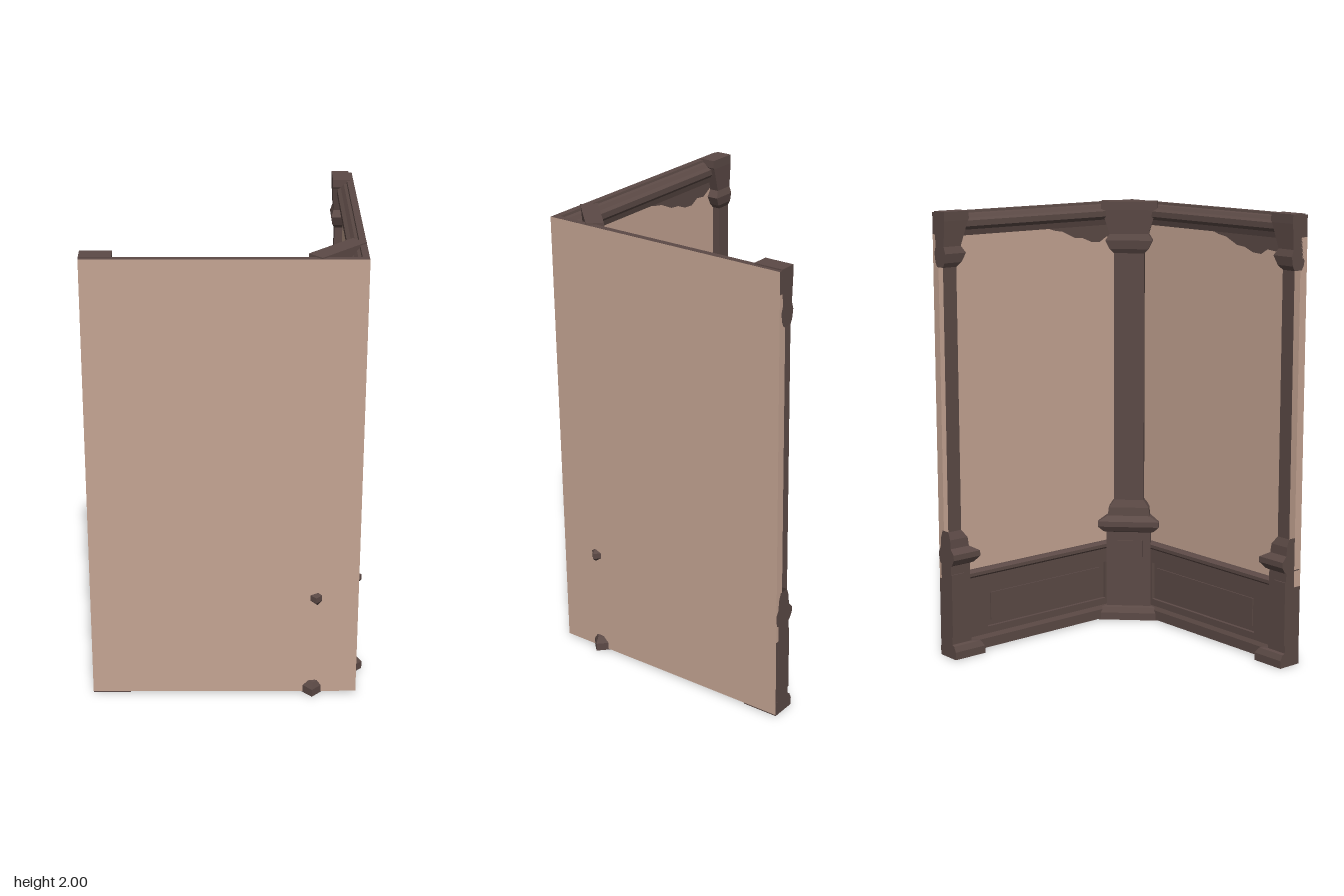
import * as THREE from 'three';

const plaster = new THREE.MeshStandardMaterial({ color: 0xc5a593, flatShading: true });
plaster.name = 'plaster';
const wood = new THREE.MeshStandardMaterial({ color: 0x5c4a46, flatShading: true, side: THREE.DoubleSide });
wood.name = 'darkWood';

const CORNER = 0.545, LENGTH = 1.14, END = CORNER - LENGTH, AXIS = 0.492;

// Column profile: height, half width, half depth
const PROFILE = [
  [0, 0.163, 0.062], [0.035, 0.163, 0.062], [0.06, 0.145, 0.05], [0.065, 0.105, 0.036],
  [0.43, 0.105, 0.036], [0.435, 0.12, 0.045], [0.46, 0.145, 0.06], [0.485, 0.145, 0.06],
  [0.51, 0.1, 0.037], [0.55, 0.095, 0.035], [0.585, 0.07, 0.022],
  [1.76, 0.07, 0.022], [1.78, 0.09, 0.033], [1.82, 0.11, 0.04], [1.85, 0.09, 0.03],
  [1.96, 0.125, 0.037], [1.965, 0.13, 0.037], [2, 0.13, 0.037],
];

function add(parent, name, geometry, material) {
  const mesh = new THREE.Mesh(geometry, material);
  mesh.name = name;
  parent.add(mesh);
  return mesh;
}

// Box given by its limits
function block(parent, name, material, x0, x1, y0, y1, z0, z1) {
  const mesh = add(parent, name, new THREE.BoxGeometry(x1 - x0, y1 - y0, z1 - z0), material);
  mesh.position.set((x0 + x1) / 2, (y0 + y1) / 2, (z0 + z1) / 2);
  return mesh;
}

// Rectangular column; side 0 is whole, +1 or -1 keeps one half with a hollow shaft
function columnGeometry(side) {
  const rings = PROFILE.map(([y, w, d]) => {
    const x0 = side > 0 ? 0 : -w, x1 = side < 0 ? 0 : w;
    const back = side ? Math.min(d, 0.0525) : d;
    return [[x0, y, -d], [x1, y, -d], [x1, y, back], [x0, y, back]];
  });
  const pos = [];
  const tri = (...pts) => pts.forEach((p) => pos.push(...p));
  for (let i = 0; i + 1 < rings.length; i++) {
    const p = rings[i], q = rings[i + 1];
    const isShaft = PROFILE[i][0] === 0.585;
    for (let k = 0; k < 4; k++) {
      const cutSide = side > 0 ? 3 : 1;
      if (side && isShaft && (k === 2 || k === cutSide)) continue;
      const n = (k + 1) % 4;
      tri(p[k], q[k], p[n]);
      tri(q[k], q[n], p[n]);
    }
  }
  const b = rings[0], t = rings[rings.length - 1];
  tri(t[0], t[3], t[2]);
  tri(t[0], t[2], t[1]);
  tri(b[0], b[2], b[3]);
  tri(b[0], b[1], b[2]);
  const g = new THREE.BufferGeometry();
  g.setAttribute('position', new THREE.Float32BufferAttribute(pos, 3));
  g.computeVertexNormals();
  return g;
}

function column(name, side, x, z, turn) {
  const g = new THREE.Group();
  g.name = name;
  add(g, 'columnBody', columnGeometry(side), wood);
  // raised panel on the pedestal
  block(g, 'pedestalPanel', wood, side > 0 ? 0 : -0.068, side < 0 ? 0 : 0.068, 0.1, 0.39, -0.042, -0.035);
  g.position.set(x, 0, z);
  g.rotation.y = turn;
  return g;
}

// Moulding with a (depth, height) profile run along the wall
function moulding(parent, name, profile) {
  const shape = new THREE.Shape(profile.map(([d, y]) => new THREE.Vector2(d, y)));
  const geo = new THREE.ExtrudeGeometry(shape, { depth: LENGTH - 0.002, bevelEnabled: false });
  geo.rotateY(Math.PI / 2); // depth now points to -z, length along +x
  const mesh = add(parent, name, geo, wood);
  mesh.position.set(END + 0.001, 0, CORNER - 0.001);
}

function wall(name) {
  const g = new THREE.Group();
  g.name = name;

  // Outer skin and plastered inner slab
  const skin = add(g, 'outerSkin', new THREE.PlaneGeometry(LENGTH, 1.99), plaster);
  skin.position.set((CORNER + END) / 2, 1, CORNER);
  block(g, 'plasterWall', plaster, END, CORNER - 0.001, 0.36, 1.9, 0.505, CORNER - 0.001);

  moulding(g, 'cornice', [
    [0, 1.995], [0.028, 1.995], [0.03, 1.985], [0.042, 1.98], [0.055, 1.965],
    [0.07, 1.955], [0.07, 1.93], [0.056, 1.915], [0.05, 1.89], [0, 1.89],
  ]);
  moulding(g, 'wainscotBack', [[0, 0.005], [0.045, 0.005], [0.045, 0.36], [0, 0.36]]);
  moulding(g, 'baseboard', [[0, 0.005], [0.07, 0.005], [0.07, 0.05], [0.06, 0.07], [0, 0.07]]);
  moulding(g, 'chairRail', [[0, 0.345], [0.06, 0.345], [0.07, 0.355], [0.07, 0.37], [0.05, 0.38], [0, 0.38]]);

  // Framed recessed panel
  const frame = new THREE.Shape();
  frame.moveTo(END + 0.001, 0.06).lineTo(CORNER - 0.002, 0.06).lineTo(CORNER - 0.002, 0.35).lineTo(END + 0.001, 0.35);
  const hole = new THREE.Path();
  hole.moveTo(-0.375, 0.1).lineTo(-0.375, 0.28).lineTo(0.325, 0.28).lineTo(0.325, 0.1);
  frame.holes.push(hole);
  add(g, 'panelFrame', new THREE.ExtrudeGeometry(frame, { depth: 0.018, bevelEnabled: false }), wood)
    .position.z = 0.483;
  block(g, 'raisedPanel', wood, -0.35, 0.3, 0.125, 0.255, 0.493, 0.501);

  // Ragged patch of bare wall under the cornice
  const patch = new THREE.Shape([
    [-0.03, 1.9], [-0.09, 1.88], [-0.14, 1.872], [-0.21, 1.84], [-0.26, 1.835], [-0.31, 1.815],
    [-0.36, 1.812], [-0.4, 1.835], [-0.45, 1.83], [-0.5, 1.86], [-0.56, 1.87], [-0.58, 1.9],
  ].map(([x, y]) => new THREE.Vector2(x, y)));
  add(g, 'barePatch', new THREE.ShapeGeometry(patch), wood).position.z = 0.502;
  return g;
}

export function createModel() {
  const model = new THREE.Group();
  model.name = 'cornerWall';

  const frontWall = wall('frontWall');
  const sideWall = wall('sideWall');
  sideWall.rotation.y = Math.PI / 2;
  sideWall.position.z = END + CORNER;
  model.add(frontWall, sideWall);

  // Diagonal corner column and a half column at each free end
  model.add(
    column('cornerColumn', 0, 0.425, 0.425, Math.PI / 4),
    column('frontEndColumn', 1, END, AXIS, 0),
    column('sideEndColumn', -1, AXIS, END, Math.PI / 2),
  );
  return model;
}
